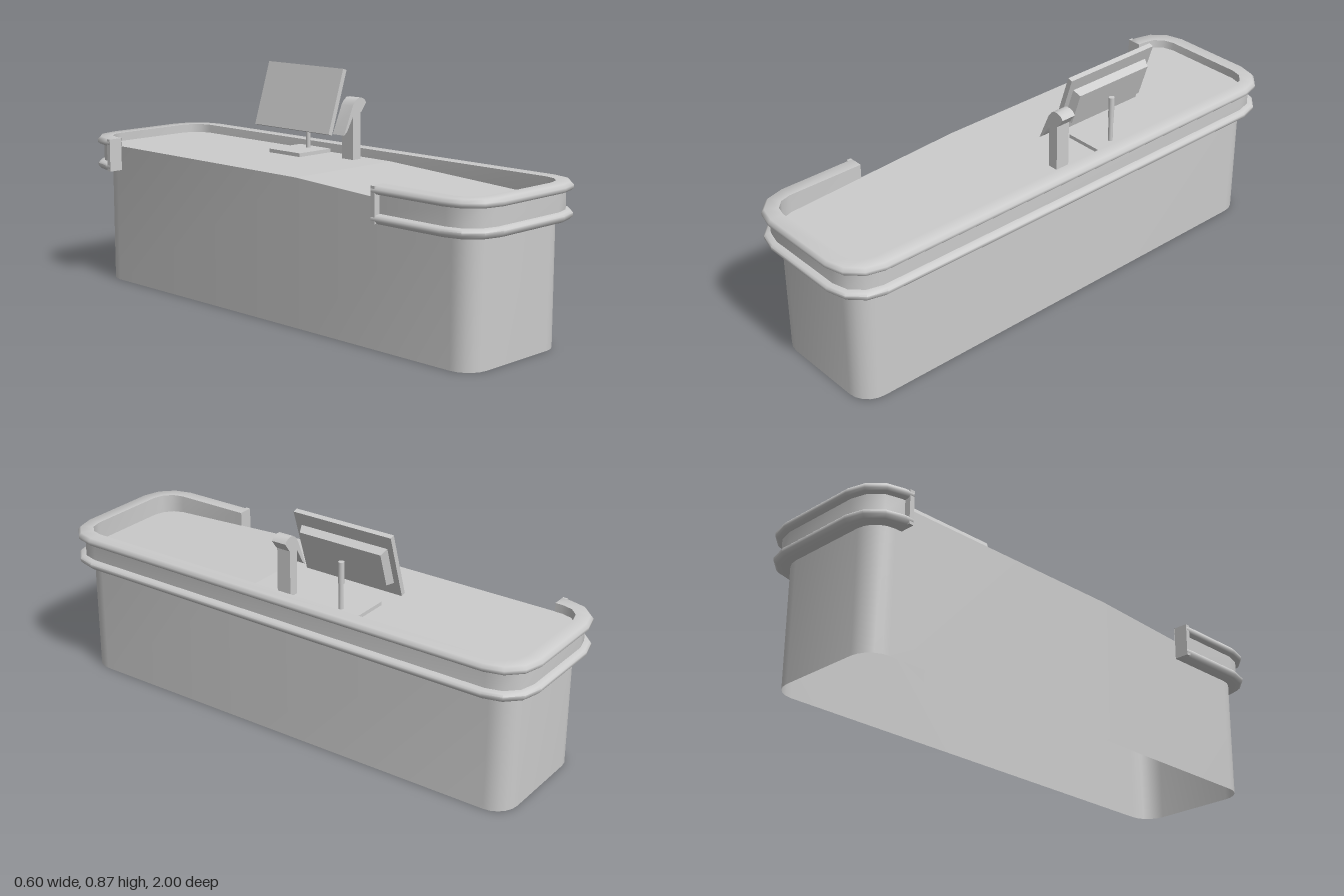
import * as THREE from 'three';
import { toCreasedNormals } from 'three/addons/utils/BufferGeometryUtils.js';

const material = new THREE.MeshStandardMaterial({ color: 0xcccccc, side: THREE.DoubleSide });

function addMesh(parent, name, geometry, x = 0, y = 0, z = 0) {
  const mesh = new THREE.Mesh(geometry, material);
  mesh.name = name;
  mesh.position.set(x, y, z);
  parent.add(mesh);
  return mesh;
}

// Rounded rectangle as points with outward normals, starting at the -x, -z corner
function roundedPath(halfX, halfZ, radius, segments) {
  const corners = [[-1, -1], [1, -1], [1, 1], [-1, 1]];
  return corners.map(([sx, sz], corner) => Array.from({ length: segments + 1 }, (_, i) => {
    const a = Math.PI + (corner + i / segments) * Math.PI / 2;
    const nx = Math.cos(a), nz = Math.sin(a);
    return { x: sx * (halfX - radius) + nx * radius, z: sz * (halfZ - radius) + nz * radius, nx, nz };
  }));
}

// Sweeps a profile of [outward offset, height] along a path
function sweep(path, profile, crease) {
  const positions = [], index = [], n = profile.length;
  path.forEach((p, i) => {
    profile.forEach(([out, y], j) => {
      positions.push(p.x + p.nx * out, y, p.z + p.nz * out);
      if (i < path.length - 1 && j < n - 1) {
        const a = i * n + j, b = a + n;
        index.push(a, a + 1, b, a + 1, b + 1, b);
      }
    });
  });
  const geometry = new THREE.BufferGeometry();
  geometry.setAttribute('position', new THREE.Float32BufferAttribute(positions, 3));
  geometry.setIndex(index);
  return toCreasedNormals(geometry, crease);
}

// The counter top is level at the back and slopes down in front of kinkZ
const topY = 0.54, kinkZ = 0.15;
function slopeTop(geometry) {
  const pos = geometry.attributes.position;
  for (let i = 0; i < pos.count; i++) {
    if (pos.getY(i) > 0.4) pos.setY(i, topY - 0.05 * Math.max(0, pos.getZ(i) - kinkZ));
  }
  geometry.computeVertexNormals();
  return toCreasedNormals(geometry, 0.6);
}

function createCounter() {
  const counter = new THREE.Group();
  counter.name = 'counter';

  // Hollow body, open underneath
  const halfX = 0.243, halfZ = 0.942, radius = 0.085;
  const [backRight, backLeft, frontLeft, frontRight] = roundedPath(halfX, halfZ, radius, 5);
  const kink = s => ({ x: s * halfX, z: kinkZ, nx: s, nz: 0 });
  const outline = [...backRight, ...backLeft, kink(1), ...frontLeft, ...frontRight, kink(-1)];
  addMesh(counter, 'counterBody', slopeTop(sweep([...outline, outline[0]], [[0, 0], [0, topY]], 0.6)));

  // Level and sloping halves of the top
  for (const s of [-1, 1]) {
    const half = outline.filter(p => (p.z - kinkZ) * s >= 0);
    const shape = new THREE.Shape(half.map(p => new THREE.Vector2(p.x, -p.z)));
    const top = new THREE.ShapeGeometry(shape).rotateX(-Math.PI / 2).translate(0, topY, 0);
    addMesh(counter, s < 0 ? 'levelTop' : 'slopingTop', slopeTop(top));
  }

  // Bumper with two rails and a recessed band, open along the -x side
  const start = -0.83, end = 0.56;
  const side = z => ({ x: -0.244, z, nx: -1, nz: 0 });
  const path = [side(start), ...roundedPath(0.244, 0.943, radius, 3).flat(), side(end)];
  const profile = [
    [-0.003, 0.446], [0.045, 0.446], [0.056, 0.457], [0.057, 0.468], [0.05, 0.475], [0.032, 0.478],
    [0.032, 0.541], [0.05, 0.545], [0.057, 0.552], [0.057, 0.562], [0.047, 0.573], [-0.003, 0.573],
    [-0.003, 0.446],
  ];
  addMesh(counter, 'bumperRails', sweep(path, profile, 0.9));
  for (const z of [start - 0.008, end + 0.008]) {
    addMesh(counter, 'bumperEnd', new THREE.BoxGeometry(0.056, 0.126, 0.018), -0.272, 0.5095, z);
  }
  return counter;
}

function createMonitor() {
  const monitor = new THREE.Group();
  monitor.name = 'monitor';
  monitor.position.z = -0.235;

  // Base plate and two-step pole
  addMesh(monitor, 'monitorBase', new THREE.BoxGeometry(0.165, 0.014, 0.165), 0.152, topY + 0.007);
  addMesh(monitor, 'lowerPole', new THREE.CylinderGeometry(0.009, 0.009, 0.11, 12), 0.197, 0.6);
  addMesh(monitor, 'upperPole', new THREE.CylinderGeometry(0.011, 0.011, 0.08, 12), 0.197, 0.69);

  // Tilted screen with a tapered housing behind it
  const head = new THREE.Group();
  head.name = 'monitorHead';
  head.position.set(0.152, 0.75, 0);
  head.rotation.z = -0.31;
  monitor.add(head);
  addMesh(head, 'screen', new THREE.BoxGeometry(0.019, 0.25, 0.4));
  const housing = new THREE.BoxGeometry(0.03, 0.148, 0.355);
  const pos = housing.attributes.position;
  for (let i = 0; i < pos.count; i++) {
    if (pos.getX(i) > 0) pos.setXYZ(i, pos.getX(i), pos.getY(i) * 0.88, pos.getZ(i) * 0.94);
  }
  addMesh(head, 'screenHousing', toCreasedNormals(housing, 0.2), 0.024);
  return monitor;
}

function createScanner() {
  const scanner = new THREE.Group();
  scanner.name = 'scanner';
  addMesh(scanner, 'scannerPost', new THREE.BoxGeometry(0.04, 0.18, 0.056), 0.183, 0.625, 0.007);

  // Bent head, drawn from the side
  const points = [
    [0.114, 0.636], [0.13, 0.648], [0.164, 0.707], [0.206, 0.716], [0.231, 0.75],
    [0.222, 0.762], [0.205, 0.769], [0.188, 0.769], [0.174, 0.76], [0.16, 0.742],
  ].map(([x, y]) => new THREE.Vector2(x, y));
  const head = new THREE.ExtrudeGeometry(new THREE.Shape(points), { depth: 0.058, bevelEnabled: false });
  addMesh(scanner, 'scannerHead', toCreasedNormals(head, 0.6), 0, 0, -0.022);
  return scanner;
}

export function createModel() {
  const model = new THREE.Group();
  model.name = 'checkoutCounter';
  model.add(createCounter(), createMonitor(), createScanner());
  return model;
}
